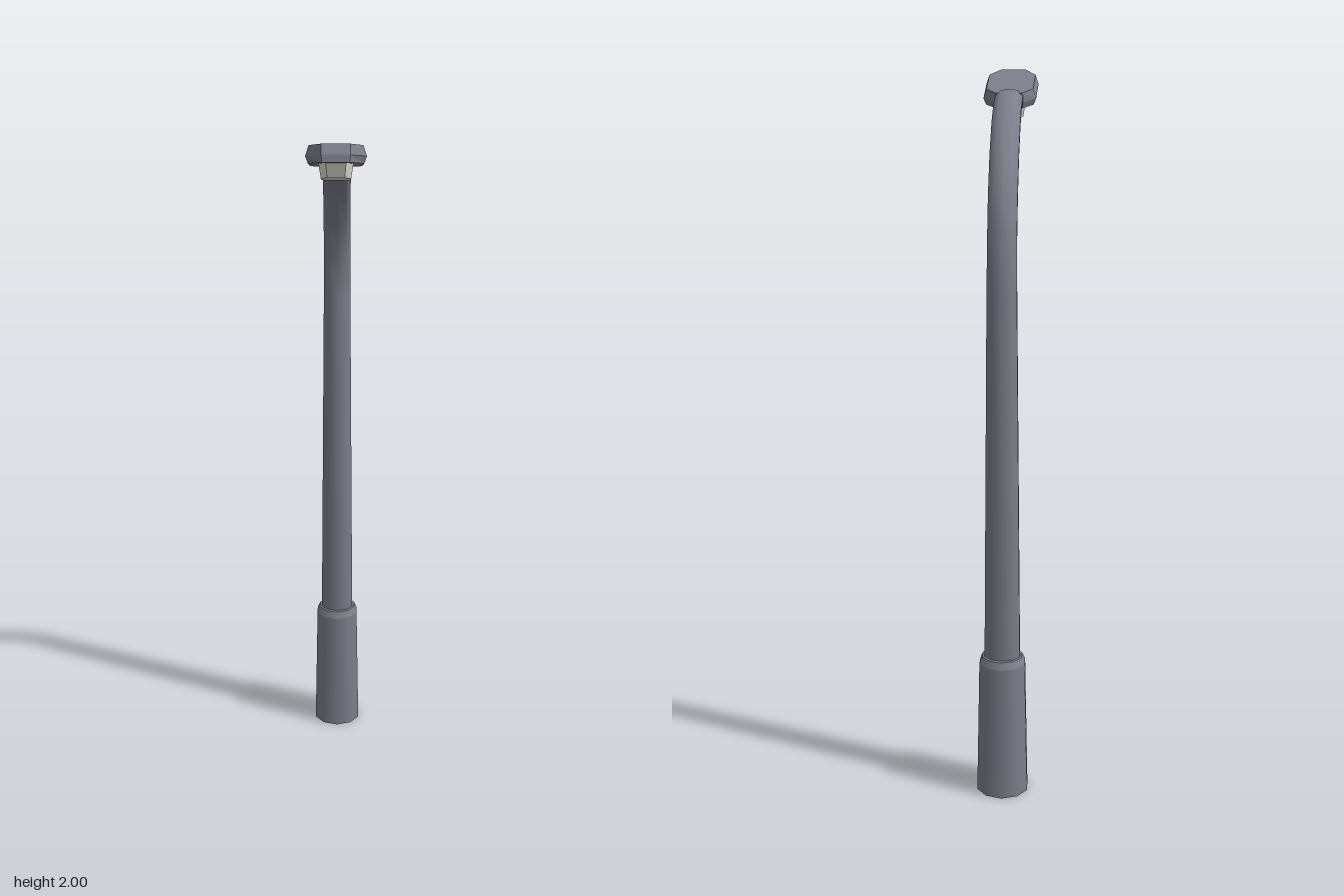
import * as THREE from 'three';

const SIDES = 10;
const POLE_Z = -0.31;

// Skin a stack of closed rings; flat gives faceted normals, caps closes both ends
function loft(rings, { flat = false, caps = false } = {}) {
  const n = rings[0].length;
  const index = [];
  for (let j = 0; j < rings.length - 1; j++) {
    for (let i = 0; i < n; i++) {
      const k = (i + 1) % n;
      const a = j * n + i, b = a + n, c = (j + 1) * n + k, d = j * n + k;
      index.push(a, b, c, a, c, d);
    }
  }
  if (caps) {
    const top = (rings.length - 1) * n;
    for (let i = 1; i < n - 1; i++) {
      index.push(0, i, i + 1, top, top + i + 1, top + i);
    }
  }
  let geometry = new THREE.BufferGeometry().setFromPoints(rings.flat());
  geometry.setIndex(index);
  if (flat) geometry = geometry.toNonIndexed();
  geometry.computeVertexNormals();
  return geometry;
}

// Symmetric outline given by its +x half, listed back to front as [x, z]
function outline(y, half) {
  const left = half.map(([x, z]) => new THREE.Vector3(x, y, z));
  const right = half.map(([x, z]) => new THREE.Vector3(-x, y, z)).reverse();
  return [...left, ...right];
}

export function createModel() {
  const model = new THREE.Group();
  model.name = 'streetLamp';
  const metal = new THREE.MeshStandardMaterial({ color: 0x7c7e8a, side: THREE.DoubleSide });
  metal.name = 'grey metal';
  const glass = new THREE.MeshStandardMaterial({ color: 0xdcdad2 });
  glass.name = 'pale glass';

  function add(name, geometry, material, parent = model) {
    const mesh = new THREE.Mesh(geometry, material);
    mesh.name = name;
    parent.add(mesh);
    return mesh;
  }

  // Base sleeve, open underneath, with a bevelled rim
  const sleeve = [
    ['baseSleeve', [0.075, 0], [0.067, 0.39]],
    ['baseBevel', [0.067, 0.39], [0.058, 0.41]],
    ['baseRim', [0.058, 0.41], [0.04, 0.41]],
  ];
  for (const [name, ...profile] of sleeve) {
    const points = profile.map(([r, y]) => new THREE.Vector2(r, y));
    add(name, new THREE.LatheGeometry(points, SIDES), metal).position.z = POLE_Z;
  }

  // Pole and curved arm: [y, z, half width, half depth]
  const path = [
    [0.4, POLE_Z, 0.052, 0.046],
    [1.45, -0.315, 0.042, 0.034],
    [1.59, -0.296, 0.041, 0.032],
    [1.69, -0.257, 0.041, 0.031],
    [1.79, -0.184, 0.041, 0.03],
    [1.865, -0.092, 0.041, 0.027],
    [1.906, -0.012, 0.041, 0.025],
    [1.932, 0.09, 0.041, 0.022],
  ];
  const rings = path.map(([y, z, rx, rn], j) => {
    const before = path[Math.max(j - 1, 0)];
    const after = path[Math.min(j + 1, path.length - 1)];
    const t = new THREE.Vector2(after[0] - before[0], after[1] - before[1]).normalize();
    if (j < 2) t.set(1, 0);
    return Array.from({ length: SIDES }, (_, i) => {
      const a = (i / SIDES) * Math.PI * 2;
      const s = rn * Math.cos(a);
      return new THREE.Vector3(rx * Math.sin(a), y + t.y * s, z - t.x * s);
    });
  });
  add('poleAndArm', loft(rings), metal);

  // Lamp head, tilted with its nose up
  const head = new THREE.Group();
  head.name = 'lampHead';
  head.position.set(0, 1.954, 0.235);
  head.rotation.x = -0.2;
  model.add(head);

  add('headHousing', loft([
    outline(-0.024, [[0.036, -0.158], [0.068, -0.11], [0.07, 0.064], [0.034, 0.15]]),
    outline(-0.006, [[0.04, -0.163], [0.075, -0.112], [0.077, 0.066], [0.036, 0.15]]),
    outline(0.021, [[0.037, -0.163], [0.066, -0.112], [0.068, 0.064], [0.036, 0.135]]),
  ], { flat: true, caps: true }), metal, head);

  // Glass cover below the housing
  add('lens', loft([
    outline(-0.06, [[0.022, -0.14], [0.038, -0.105], [0.038, 0.055], [0.022, 0.098]]),
    outline(-0.022, [[0.025, -0.152], [0.044, -0.112], [0.044, 0.065], [0.025, 0.119]]),
  ], { flat: true, caps: true }), glass, head);

  return model;
}
